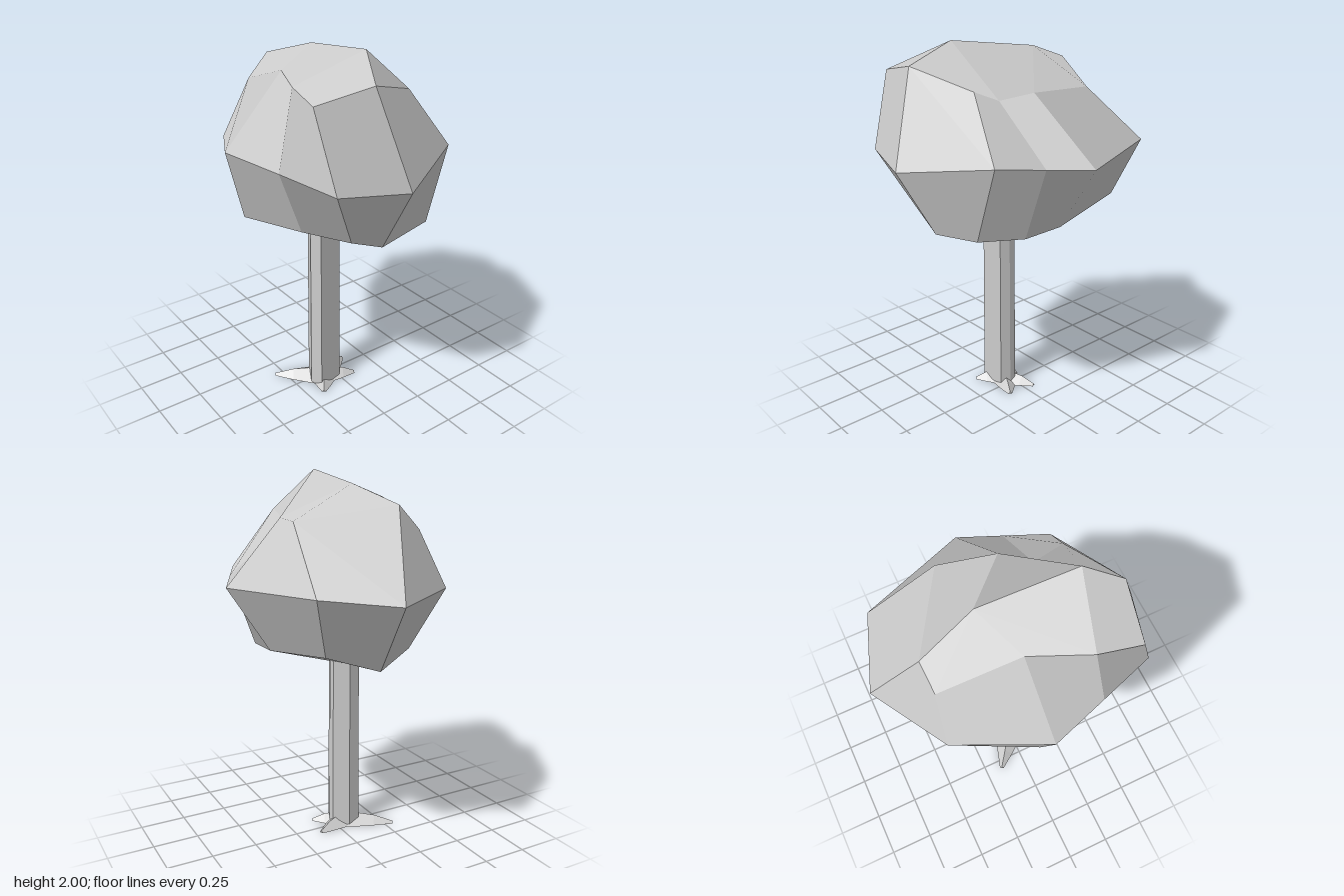
import * as THREE from 'three';

const material = new THREE.MeshStandardMaterial({ color: 0xcccccc });

// Facet normal of a polygon, shared by all its triangles
function facetNormal(corners) {
  const n = new THREE.Vector3();
  corners.forEach((c, i) => {
    const a = new THREE.Vector3(...c), b = new THREE.Vector3(...corners[(i + 1) % corners.length]);
    n.add(a.cross(b));
  });
  return n.normalize().toArray();
}

// Flat-faced mesh from polygons, each a list of [x, y, z] corners in counter-clockwise order
function facetMesh(name, polygons) {
  const pos = [], normals = [];
  for (const p of polygons) {
    const n = facetNormal(p);
    for (let i = 1; i < p.length - 1; i++) {
      pos.push(...p[0], ...p[i], ...p[i + 1]);
      normals.push(...n, ...n, ...n);
    }
  }
  const geo = new THREE.BufferGeometry();
  geo.setAttribute('position', new THREE.Float32BufferAttribute(pos, 3));
  geo.setAttribute('normal', new THREE.Float32BufferAttribute(normals, 3));
  const mesh = new THREE.Mesh(geo, material);
  mesh.name = name;
  return mesh;
}

// Quads joining two closed rings of equal length
const band = (low, high) => low.map((p, i) => {
  const j = (i + 1) % low.length;
  return [low[j], high[j], high[i], p];
});

function createCrown() {
  // Rings run from front right round by the model's left side
  const under = [
    [-0.19, 1.09, 0.43], [-0.04, 1.045, 0.485], [0.27, 1.09, 0.46], [0.37, 1.08, 0.24], [0.38, 1.09, 0.015],
    [0.3, 1.15, -0.45], [0.02, 1.055, -0.495], [-0.26, 1.1, -0.325], [-0.515, 1.145, -0.035], [-0.34, 1.11, 0.22],
  ];
  const waist = [
    [-0.4, 1.44, 0.595], [-0.05, 1.41, 0.695], [0.4, 1.48, 0.455], [0.505, 1.46, 0.235], [0.61, 1.44, 0.015],
    [0.4, 1.455, -0.555], [0.02, 1.41, -0.7], [-0.38, 1.43, -0.465], [-0.61, 1.515, -0.02], [-0.505, 1.48, 0.29],
  ];
  const shoulder = [
    [-0.44, 1.83, 0.475], [-0.145, 1.885, 0.53], [0.175, 1.79, 0.39], [0.175, 1.73, 0.24], [0.27, 1.765, 0.1],
    [0.335, 1.77, -0.19], [-0.1, 1.85, -0.445], [-0.225, 1.73, -0.435], [-0.275, 1.86, -0.03], [-0.4, 1.86, 0.255],
  ];
  const peak = [-0.055, 2, 0.345], ridge = [-0.015, 1.94, -0.148], base = [-0.04, 0.975, -0.03];
  const s = shoulder;
  return facetMesh('crown', [
    ...band(under, waist),
    ...band(waist, shoulder),
    // Top facets around the peak and the ridge behind it
    [peak, s[9], s[0], s[1]], [peak, s[1], s[2], s[3]], [peak, s[3], s[4], ridge],
    [ridge, s[4], s[5], s[6]], [ridge, s[6], s[7], s[8]], [ridge, s[8], s[9], peak],
    // Underside fan
    ...under.map((p, i) => [base, under[(i + 1) % under.length], p]),
  ]);
}

function createTrunk() {
  const section = [
    [-0.14, 0.102], [-0.005, 0.09], [0.016, 0.037], [0.015, 0], [-0.06, -0.06], [-0.125, -0.05], [-0.165, 0.035],
  ];
  const ring = (y, k) => section.map(([x, z]) => [-0.07 + (x + 0.07) * k, y, 0.02 + (z - 0.02) * k]);
  const bottom = ring(0, 1.02), top = ring(1.03, 0.95);
  return facetMesh('trunk', [...band(bottom, top), [...bottom].reverse(), top]);
}

// Low wedge tapering from the trunk out to a tip
function createRoot([tipX, tipZ], width) {
  const start = new THREE.Vector2(-0.07, 0.02);
  const along = new THREE.Vector2(tipX, tipZ).sub(start);
  const side = new THREE.Vector2(-along.y, along.x).normalize();
  const section = (t, w, h) => [[-1, 0], [0, h], [1, 0]].map(([s, y]) => [
    start.x + along.x * t + side.x * w * s, y, start.y + along.y * t + side.y * w * s,
  ]);
  const rings = [section(0.1, width, 0.055), section(0.62, width * 0.55, 0.042), section(1, 0.012, 0.012)];
  return facetMesh('root', [
    ...band(rings[0], rings[1]), ...band(rings[1], rings[2]), [...rings[0]].reverse(), rings[2],
  ]);
}

export function createModel() {
  const tree = new THREE.Group();
  tree.name = 'tree';
  const roots = new THREE.Group();
  roots.name = 'roots';
  for (const [tip, width] of [
    [[-0.3, -0.15], 0.09], [[-0.16, 0.152], 0.08], [[0.095, 0.105], 0.08], [[0.12, -0.055], 0.08],
  ]) roots.add(createRoot(tip, width));
  tree.add(createCrown(), createTrunk(), roots);
  return tree;
}
